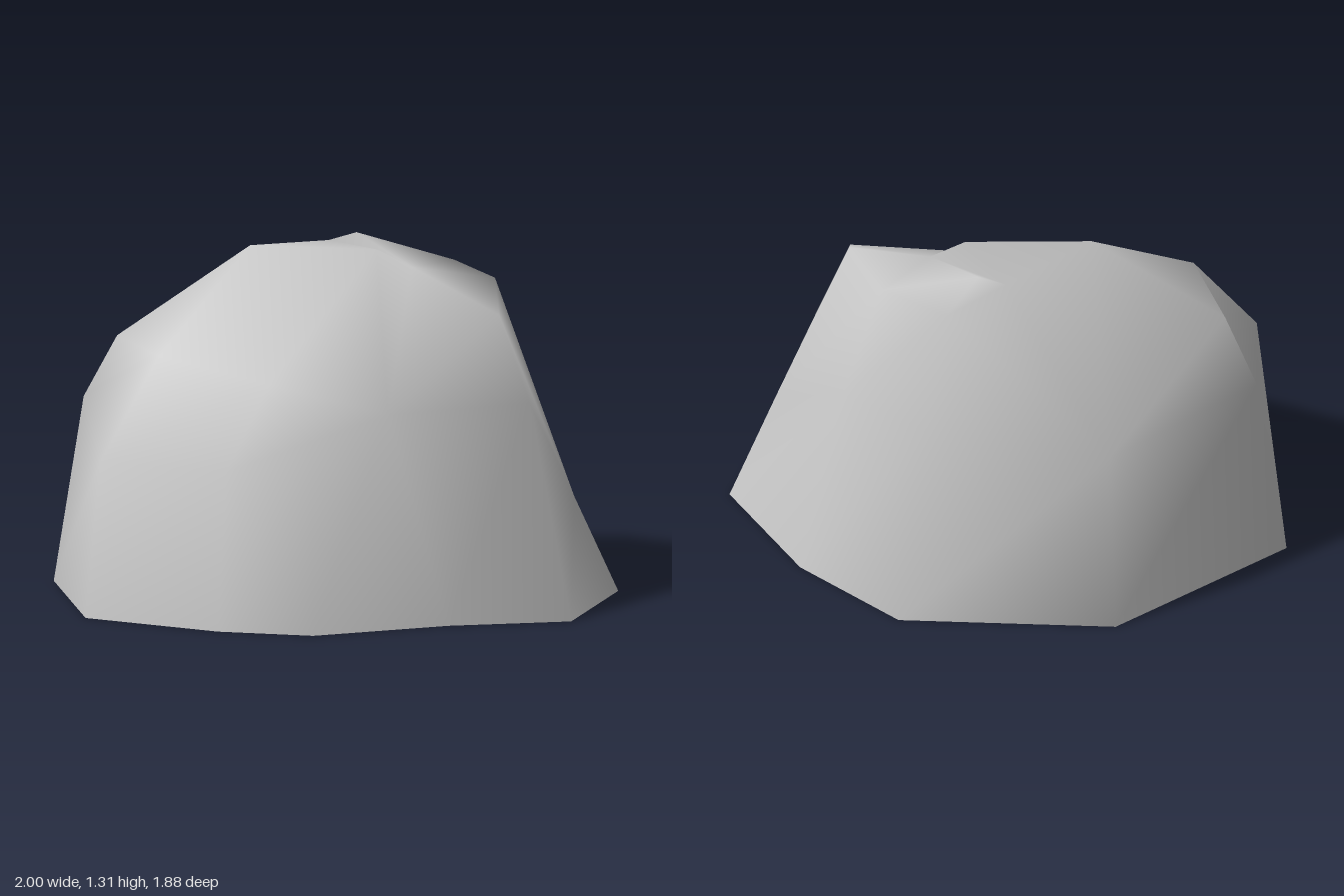
import * as THREE from 'three';

// Open outline on the ground, counter-clockwise from above: x, z
const base = [
  [-1, 0.48], [-0.47, 0.935], [0.08, 0.81], [0.41, 0.64], [0.69, 0.17],
  [1, -0.19], [0.78, -0.74], [0.21, -0.93], [-0.33, -0.94], [-0.95, -0.39],
];

// Shoulder ring above the outline, one corner for each base corner
const shoulder = [
  [-0.91, 0.72, 0.41], [-0.45, 0.6, 0.87], [0.04, 0.6, 0.71], [0.25, 0.7, 0.48],
  [0.45, 0.8, 0.24], [0.64, 0.77, -0.38], [0.71, 0.39, -0.56], [0.14, 0.73, -0.77],
  [-0.3, 0.75, -0.755], [-0.86, 0.69, -0.33],
];

// Crown corners, numbered from 10 after the shoulder
const crown = [
  [-0.77, 0.97, 0.38], [-0.4, 0.97, 0.58], [0.02, 0.89, 0.43], // front slope
  [-0.41, 1.31, 0.02], [-0.05, 1.29, -0.3],                    // ridge
  [0.05, 1.22, -0.39], [-0.28, 1.3, -0.46],                    // notch, rear peak
  [-0.28, 1.2, -0.63], [0.03, 1.2, -0.67],                     // rear rim
  [0.345, 1.195, -0.53], [0.48, 1.09, -0.39],                  // right rim
  [-0.36, 1.27, -0.39],                                        // head of the notch
];

// Crown facets
const facets = [
  [0, 1, 11, 10], [1, 2, 12, 11], [2, 3, 12], [3, 4, 12],
  [10, 11, 13], [11, 12, 13], [12, 14, 13], [12, 4, 14], [4, 15, 14],
  [4, 20, 15], [4, 5, 20], [20, 19, 15], [5, 6, 20], [6, 19, 20],
  [6, 7, 18, 19], [7, 8, 17, 18], [8, 9, 17], [9, 0, 10], [9, 10, 13],
  [9, 13, 21], [9, 21, 17], [21, 16, 17], [13, 14, 21], [14, 15, 21], [15, 16, 21],
  [15, 18, 16], [15, 19, 18], [16, 18, 17],
];

function rockGeometry() {
  const n = base.length;
  const points = [...shoulder, ...crown, ...base.map(([x, z]) => [x, 0, z])];
  const foot = shoulder.length + crown.length;
  const index = [];
  const addFace = (face) => {
    for (let i = 1; i < face.length - 1; i++) index.push(face[0], face[i], face[i + 1]);
  };
  // Flanks between the ground outline and the shoulder
  for (let i = 0; i < n; i++) {
    const j = (i + 1) % n;
    addFace([foot + i, foot + j, j, i]);
  }
  facets.forEach(addFace);

  const geometry = new THREE.BufferGeometry();
  geometry.setAttribute('position', new THREE.Float32BufferAttribute(points.flat(), 3));
  geometry.setIndex(index);
  geometry.computeVertexNormals();
  return geometry;
}

export function createModel() {
  const stone = new THREE.MeshStandardMaterial({ color: 0xc8c8c8, side: THREE.DoubleSide });
  stone.name = 'grey stone';
  const rock = new THREE.Mesh(rockGeometry(), stone);
  rock.name = 'rock';
  const model = new THREE.Group();
  model.name = 'boulder';
  model.add(rock);
  return model;
}
